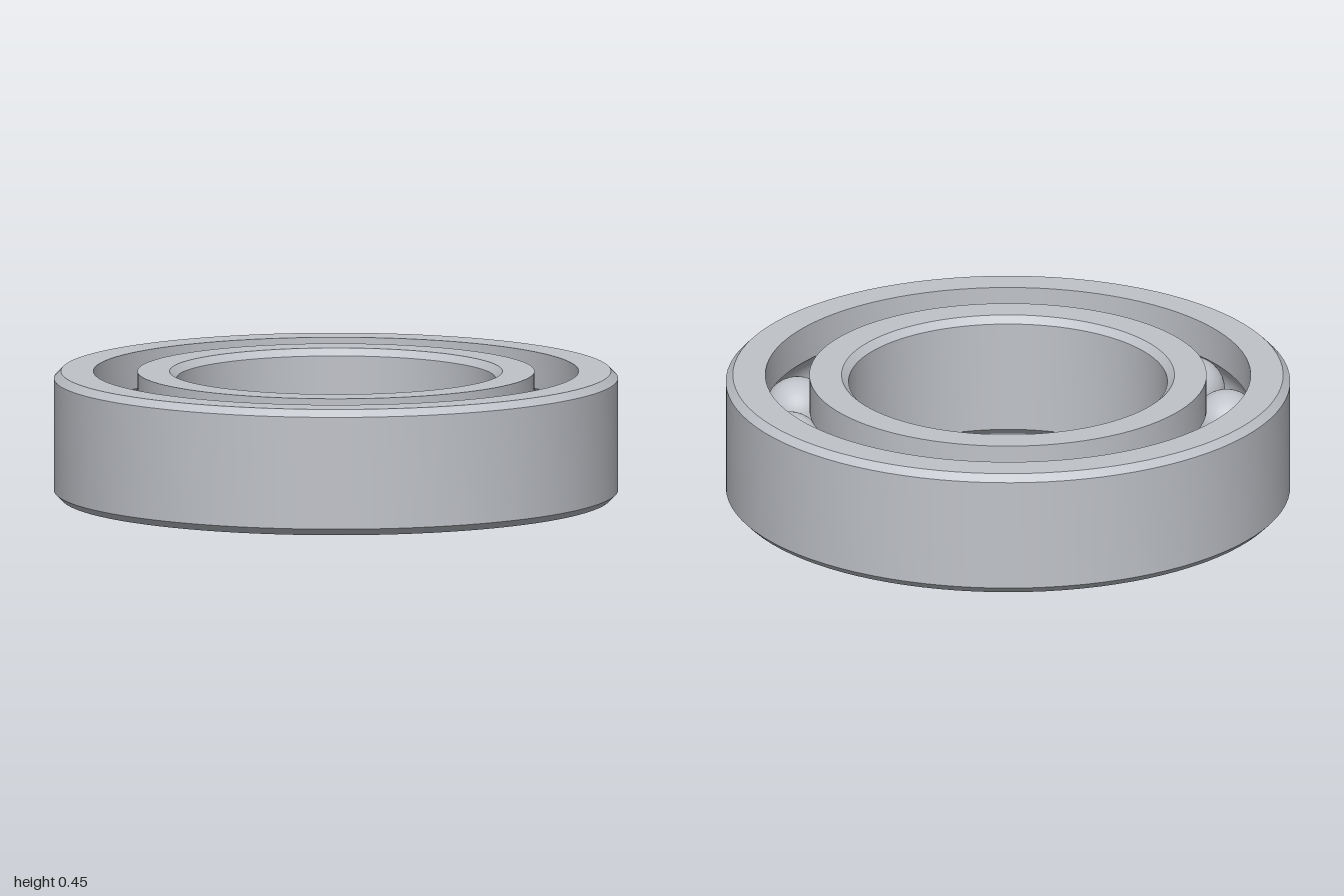
import * as THREE from 'three';
import { toCreasedNormals } from 'three/addons/utils/BufferGeometryUtils.js';

const H = 0.45, MID = H / 2;    // ring height and mid plane
const PITCH = 0.782;            // radius of the ball circle
const BALL_R = 0.12, BALLS = 14;
const GROOVE_R = 0.122;
const CHAMFER = 0.025;

// Points of the ball groove cut into a shoulder; dir = 1 runs upward, -1 downward
function groove(shoulder, dir) {
  const side = Math.sign(shoulder - PITCH);
  const a = Math.acos(Math.abs(shoulder - PITCH) / GROOVE_R);
  const pts = [], n = 12;
  for (let i = 0; i <= n; i++) {
    const t = dir * a * (2 * i / n - 1);
    pts.push([PITCH + side * GROOVE_R * Math.cos(t), MID + GROOVE_R * Math.sin(t)]);
  }
  return pts;
}

// Closed profile turned about the y axis
function turned(profile) {
  const pts = [...profile, profile[0]].map(([r, y]) => new THREE.Vector2(r, y));
  return toCreasedNormals(new THREE.LatheGeometry(pts, 96), Math.PI / 7);
}

export function createModel() {
  const group = new THREE.Group();
  group.name = 'ballBearing';
  const steel = new THREE.MeshStandardMaterial({ color: 0xc0c3c9 });
  steel.name = 'steel';

  const add = (name, geometry) => {
    const mesh = new THREE.Mesh(geometry, steel);
    mesh.name = name;
    group.add(mesh);
    return mesh;
  };

  // Outer ring: chamfered outside, groove on the inside
  const outer = 1, outerShoulder = 0.86;
  add('outerRing', turned([
    [outerShoulder, 0], [outer - CHAMFER, 0], [outer, CHAMFER],
    [outer, H - CHAMFER], [outer - CHAMFER, H], [outerShoulder, H],
    ...groove(outerShoulder, -1),
  ]));

  // Inner ring: groove on the outside, chamfered bore
  const bore = 0.565, innerShoulder = 0.704;
  add('innerRing', turned([
    [bore + CHAMFER, 0], [innerShoulder, 0],
    ...groove(innerShoulder, 1),
    [innerShoulder, H], [bore + CHAMFER, H],
    [bore, H - CHAMFER], [bore, CHAMFER],
  ]));

  // Balls evenly spaced around the race
  const ballGeometry = new THREE.SphereGeometry(BALL_R, 32, 24);
  for (let i = 0; i < BALLS; i++) {
    const a = (i / BALLS) * Math.PI * 2;
    add('ball' + (i + 1), ballGeometry)
      .position.set(PITCH * Math.cos(a), MID, PITCH * Math.sin(a));
  }
  return group;
}
